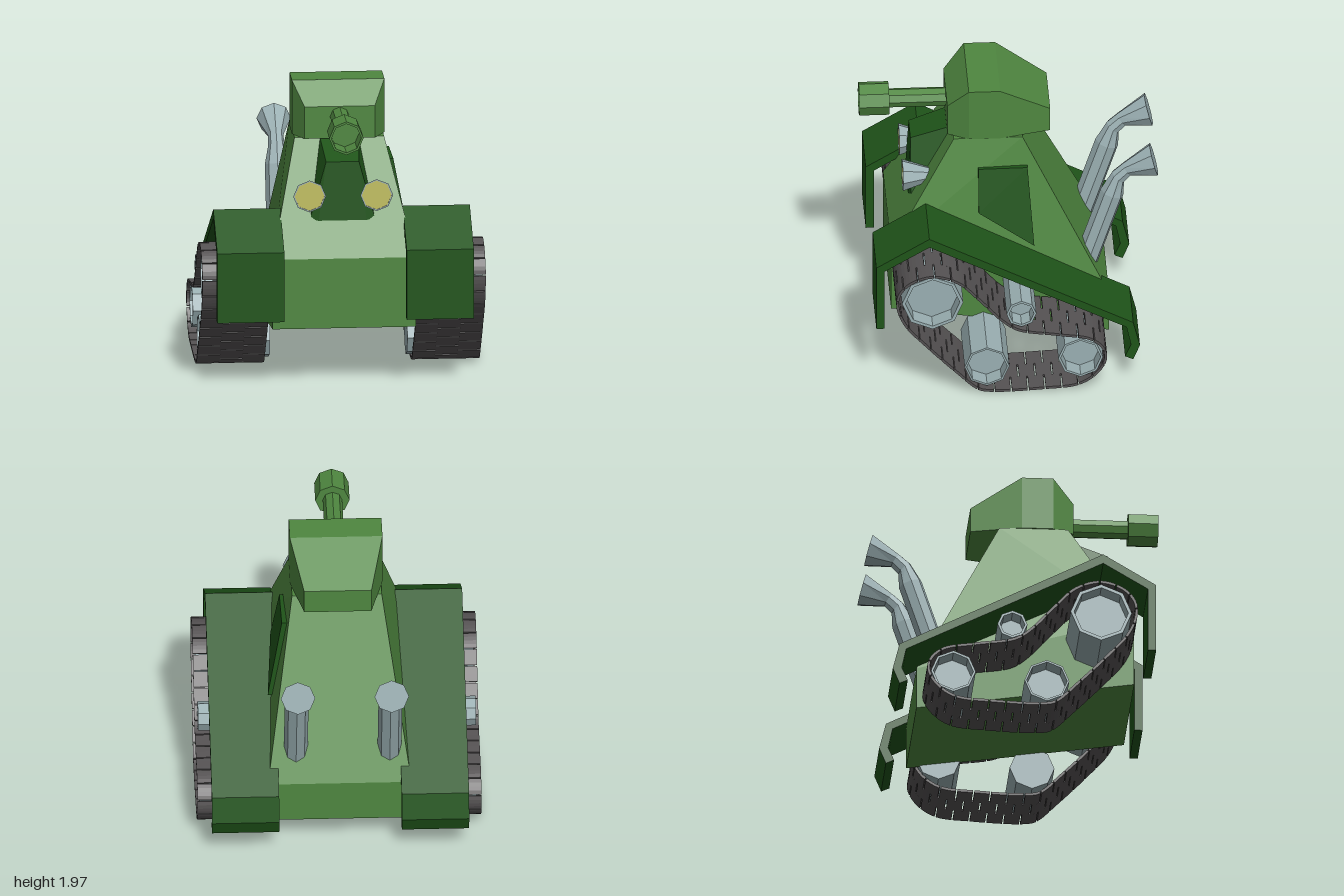
import * as THREE from 'three';
import { mergeGeometries } from 'three/addons/utils/BufferGeometryUtils.js';
import { ConvexGeometry } from 'three/addons/geometries/ConvexGeometry.js';

const paint = (color) => new THREE.MeshStandardMaterial({ color, flatShading: true });
const green = paint(0x4f8740);
const darkGreen = paint(0x1f5419);
const steel = paint(0x9aafb2);
const rubber = paint(0x555253);
const yellow = paint(0xc2c062);

// Flat-sided solid spanned by its corners
const solid = (corners) => new ConvexGeometry(corners.map((c) => new THREE.Vector3(...c)));

// Corners given for +x, repeated on -x
const mirrored = (corners) => solid(corners.flatMap(([x, y, z]) => [[x, y, z], [-x, y, z]]));

// Side profile of [z, y] points, swept across from x0 to x1
function sweep(profile, x0, x1) {
  const shape = new THREE.Shape(profile.map(([z, y]) => new THREE.Vector2(z, y)));
  const geo = new THREE.ExtrudeGeometry(shape, { depth: x1 - x0, bevelEnabled: false });
  return geo.rotateY(-Math.PI / 2).translate(x1, 0, 0);
}

// Eight-sided turned part from [radius, height] points
const turned = (points) =>
  new THREE.LatheGeometry(points.map(([r, h]) => new THREE.Vector2(r, h)), 8);

// Cup: solid drum with a recess in its far end
const drum = (r, inner, length, recess) => turned([
  [0, 0], [r, 0], [r, length], [inner, length], [inner, length - recess], [0, length - recess],
]);

// Bent pipe through rings of [z, y, radius, tilt in degrees], first ring is the mouth
function bentPipe(rings) {
  const n = rings.length - 1;
  const geo = new THREE.CylinderGeometry(1, 1, 1, 8, n);
  const pos = geo.attributes.position;
  for (let i = 0; i < pos.count; i++) {
    const [z, y, r, tilt] = rings[Math.round((0.5 - pos.getY(i)) * n)];
    const a = THREE.MathUtils.degToRad(tilt);
    const side = pos.getZ(i) * r;
    pos.setXYZ(i, pos.getX(i) * r, y - side * Math.cos(a), z + side * Math.sin(a));
  }
  geo.computeVertexNormals();
  return geo;
}

// Belt of staggered plates in three columns
function trackBelt(x0, x1) {
  const path = new THREE.CatmullRomCurve3([
    [0.55, 0.92], [0.7, 0.875], [0.78, 0.785], [0.79, 0.68], [0.735, 0.54], [0.6, 0.38],
    [0.4, 0.17], [0.25, 0.03], [0.17, 0.012], [-0.18, 0.02], [-0.42, 0.046], [-0.54, 0.126],
    [-0.6, 0.233], [-0.585, 0.32], [-0.5, 0.395], [-0.284, 0.437], [-0.016, 0.485],
    [0.09, 0.56], [0.25, 0.735], [0.386, 0.867],
  ].map(([z, y]) => new THREE.Vector3(z, y, 0)), true);
  const links = 32, half = 0.009, steps = 4, width = (x1 - x0) / 3;
  const plates = [];
  for (let column = 0; column < 3; column++) {
    for (let i = 0; i < links; i++) {
      const outer = [], inner = [];
      for (let k = 0; k <= steps; k++) {
        const u = ((i + (column % 2) * 0.5 + 0.92 * k / steps) / links) % 1;
        const p = path.getPointAt(u), t = path.getTangentAt(u);
        outer.push([p.x + t.y * half, p.y - t.x * half]);
        inner.unshift([p.x - t.y * half, p.y + t.x * half]);
      }
      const x = x0 + column * width;
      plates.push(sweep([...outer, ...inner], x, x + width));
    }
  }
  return mergeGeometries(plates);
}

export function createModel() {
  const model = new THREE.Group();
  const add = (name, geo, material, x = 0, y = 0, z = 0) => {
    const mesh = new THREE.Mesh(geo, material);
    mesh.name = name;
    mesh.position.set(x, y, z);
    model.add(mesh);
    return mesh;
  };

  // Hull, leaning inwards to a narrow top
  add('hull', mirrored([
    [0.48, 0.39, 0.81], [0.48, 0.17, -0.65],
    [0.48, 0.87, 0.81], [0.48, 0.46, -0.65],
    [0.3, 1.6, 0.38], [0.3, 1.6, -0.08],
  ]), green);

  // Turret: upright sides under a sloped roof
  add('turret', mirrored([
    [0.235, 1.82, 0.42], [0.31, 1.97, 0.28], [0.31, 1.97, 0.07], [0.225, 1.77, -0.27],
    [0.235, 1.6, 0.42], [0.31, 1.6, 0.28], [0.31, 1.6, 0.07], [0.225, 1.6, -0.27],
  ]), green);

  // Gun
  add('barrel', turned([[0.065, 0], [0.065, 0.42]]), green, 0, 1.75, 0.4).rotation.x = Math.PI / 2;
  add('muzzle', drum(0.115, 0.1, 0.2, 0.16), green, 0, 1.75, 0.8).rotation.x = Math.PI / 2;

  // Block on the front slope, between the lamps
  add('frontBlock', mirrored([
    [0.13, 1.6, 0.37], [0.11, 1.5, 0.66], [0.16, 1.1, 0.68], [0.22, 1.1, 0.66],
  ]), darkGreen);

  // Door on the left side only
  add('sideDoor', solid([
    [0.375, 1.4, 0.22], [0.37, 1.4, -0.11], [0.465, 0.84, -0.15], [0.435, 1.09, 0.22],
    [0.33, 1.4, 0.22], [0.32, 1.4, -0.11], [0.41, 0.84, -0.15], [0.39, 1.09, 0.22],
  ]), darkGreen);

  const fenderProfile = [
    [0.93, 0.47], [0.93, 0.95], [0.575, 1.165], [-0.79, 0.46], [-0.835, 0.28], [-0.79, 0.17],
    [-0.735, 0.195], [-0.775, 0.285], [-0.745, 0.425], [0.575, 1.1], [0.875, 0.92], [0.875, 0.47],
  ];
  // Wheels as [z, y, radius, inner radius]
  const wheels = [
    [0.557, 0.705, 0.205, 0.182], [0.193, 0.19, 0.15, 0.136],
    [-0.434, 0.239, 0.15, 0.134], [-0.038, 0.598, 0.1, 0.083],
  ];

  for (const s of [1, -1]) {
    const side = s > 0 ? 'left' : 'right';
    const span = (inner, outer) => (s > 0 ? [inner, outer] : [-outer, -inner]);

    add(side + 'Fender', sweep(fenderProfile, ...span(0.41, 0.86)), darkGreen);
    add(side + 'Track', trackBelt(...span(0.495, 0.95)), rubber);

    wheels.forEach(([z, y, r, inner], i) => {
      const wheel = add(side + 'Wheel' + (i + 1), drum(r, inner, 0.47, 0.12), steel, s * 0.46, y, z);
      wheel.rotation.z = -s * Math.PI / 2;
    });

    // Headlamp with a yellow lens
    const lamp = turned([[0, 0], [0.045, 0], [0.11, 0.19], [0.1, 0.19], [0.1, 0.18]]);
    add(side + 'Headlamp', lamp, steel, s * 0.225, 1.28, 0.53).rotation.x = Math.PI / 2;
    add(side + 'Lens', new THREE.CircleGeometry(0.102, 8), yellow, s * 0.225, 1.28, 0.716);

    // Exhaust, bent backwards with a flared mouth
    add(side + 'Exhaust', bentPipe([
      [-0.96, 1.386, 0.115, 165], [-0.78, 1.315, 0.052, 145], [-0.72, 1.257, 0.055, 133],
      [-0.68, 1.14, 0.08, 109], [-0.485, 0.55, 0.08, 109],
    ]), steel, s > 0 ? 0.29 : -0.337);
  }
  return model;
}
